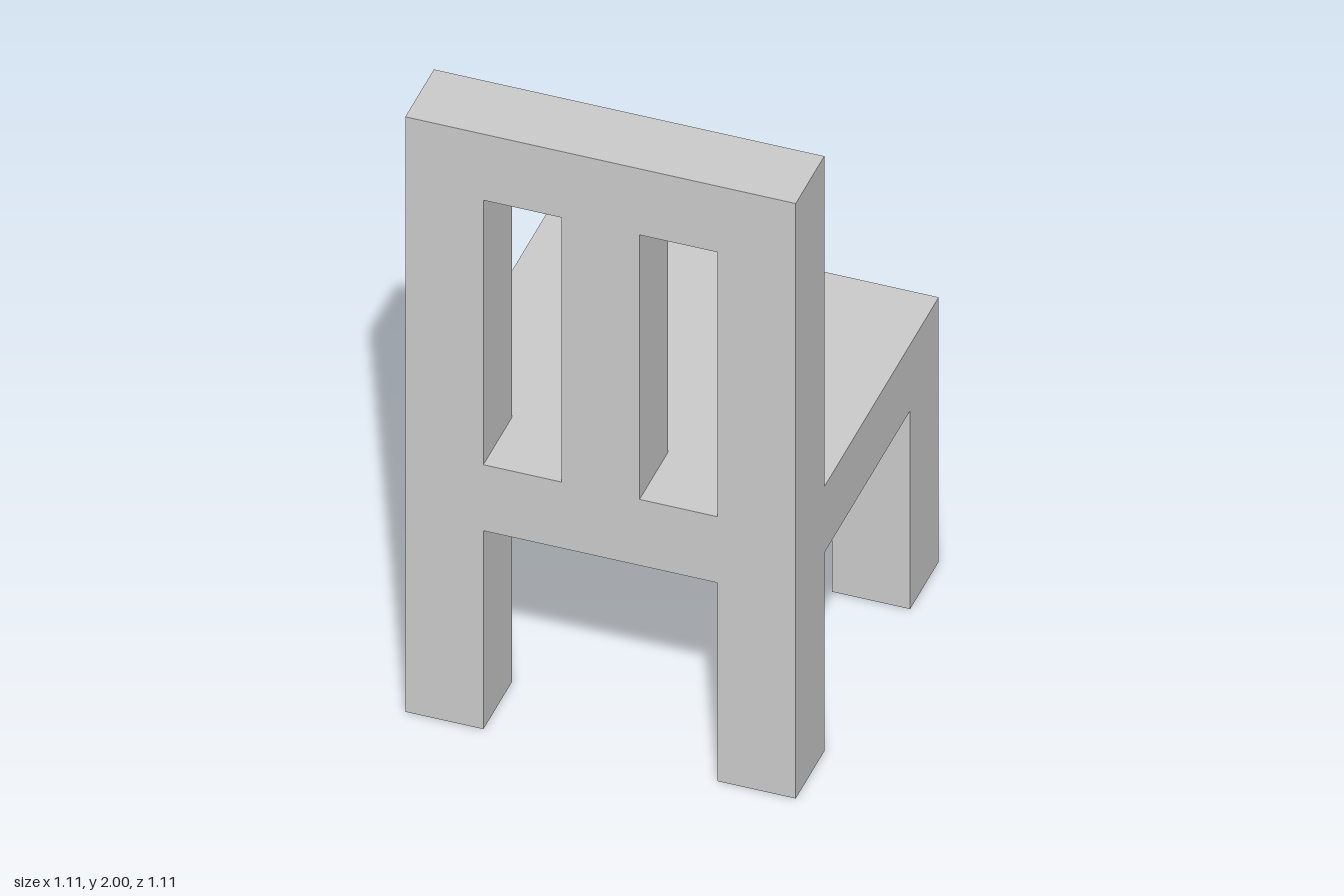
import * as THREE from 'three';

const U = 2 / 9; // the thickness shared by every bar of the chair

export function createModel() {
  const chair = new THREE.Group();
  chair.name = 'chair';
  const material = new THREE.MeshStandardMaterial({ color: 0xcccccc, flatShading: true });

  // Box sized in bar units, placed by its bottom centre
  function bar(name, [w, h, d], [x, y, z]) {
    const mesh = new THREE.Mesh(new THREE.BoxGeometry(w * U, h * U, d * U), material);
    mesh.position.set(x * U, (y + h / 2) * U, z * U);
    mesh.name = name;
    chair.add(mesh);
  }

  bar('seat', [5, 1, 5], [0, 3, 0]);

  // Legs and backrest posts, mirrored; the backrest stands on the +z side
  for (const [side, x] of [['left', 2], ['right', -2]]) {
    bar(`${side}LegBelowSeat`, [1, 3, 1], [x, 0, -2]);
    bar(`${side}LegBelowBackrest`, [1, 3, 1], [x, 0, 2]);
    bar(`${side}BackrestPost`, [1, 4, 1], [x, 4, 2]);
  }

  // Centre slat and top rail of the backrest
  bar('backrestSlat', [1, 4, 1], [0, 4, 2]);
  bar('backrestTopRail', [5, 1, 1], [0, 8, 2]);

  return chair;
}
